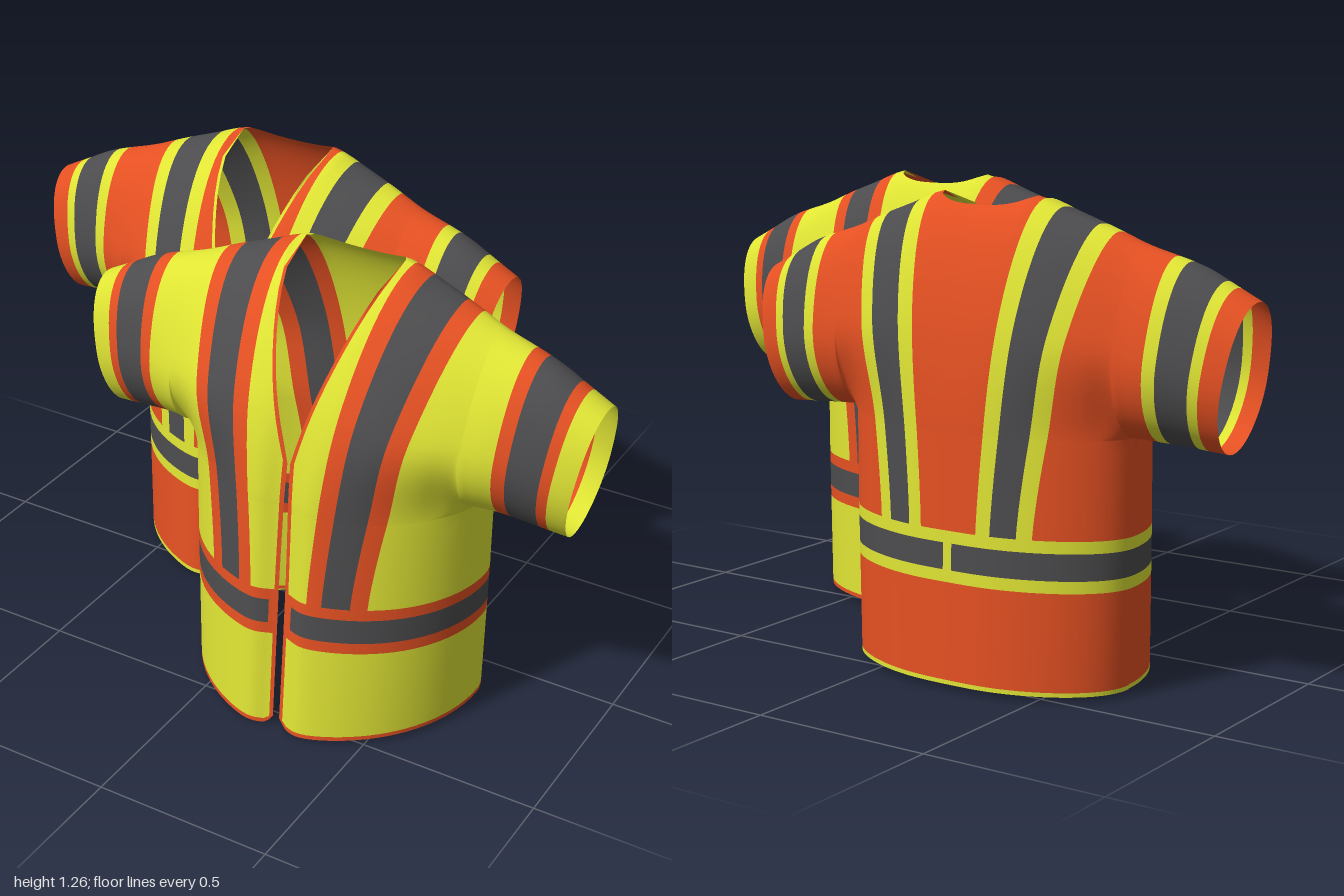
import * as THREE from 'three';

const yellow = new THREE.MeshStandardMaterial({ color: 0xdfe434, side: THREE.DoubleSide });
yellow.name = 'safety yellow';
const orange = new THREE.MeshStandardMaterial({ color: 0xe45022, side: THREE.DoubleSide });
orange.name = 'safety orange';
const grey = new THREE.MeshStandardMaterial({ color: 0x4c4c4e, side: THREE.DoubleSide });
grey.name = 'reflective grey';

const { lerp, clamp, smoothstep } = THREE.MathUtils;

// Smooth curve through [x, value] points
function curve(points) {
  const c = new THREE.CubicInterpolant(points.map(p => p[0]), points.map(p => p[1]), 1, [0]);
  return x => c.evaluate(clamp(x, points[0][0], points[points.length - 1][0]))[0];
}

const ARMPIT = 0.67, ARMHOLE = 0.435, CUFF = 0.745, NECK = 0.145, WAIST = 0.417, UPPER_ROWS = 28;

// Shoulder ridge height and depth position, then depth of front and back from the ridge
const ridgeY = curve([[0, 1.265], [0.145, 1.26], [0.245, 1.225], [0.345, 1.19], [0.435, 1.155],
  [0.595, 1.105], [0.675, 1.065], [0.745, 1.03]]);
const ridgeZ = curve([[0, -0.11], [0.15, -0.11], [0.435, -0.085], [0.6, -0.065], [0.745, -0.057]]);
const frontDepth = curve([[0, 0.38], [0.145, 0.38], [0.245, 0.36], [0.345, 0.305], [0.435, 0.245],
  [0.55, 0.175], [0.745, 0.12]]);
const backDepth = curve([[0, 0.19], [0.145, 0.19], [0.245, 0.19], [0.345, 0.17], [0.435, 0.15],
  [0.55, 0.148], [0.745, 0.125]]);

// How far a column has moved from its waist position to its shoulder position
function lean(y, top) {
  return clamp((y - WAIST) / (top - WAIST), 0, 1) ** 1.3;
}
// The skirt narrows slightly towards the hem
const taper = y => 1 - 0.026 * (1 - Math.min(1, y / WAIST));
// Half width of the torso at height y
const halfWidth = y => (0.42 + 0.015 * lean(y, ridgeY(ARMHOLE))) * taper(y);

// Columns of a half garment: [x at waist, x at shoulder, steps to next, kind of cloth to next]
const columnKnots = front => [
  front ? [0.01, 0.004, 1, 'edge'] : [0, 0, 1, 'seam'],
  front ? [0.021, 0.016, 1, 'seam'] : [0.013, 0.013, 1, 'plain'],
  [0.034, 0.032, 9, 'plain'],
  [0.075, NECK, 1, 'plain'],
  [0.085, 0.167, 2, 'stripeTrim'],
  [0.125, 0.218, 5, 'stripe'],
  [0.195, 0.322, 2, 'stripeTrim'],
  [0.235, 0.37, 14, 'side'],
  [0.42, ARMHOLE, 5, 'sleeve'],
  [0, 0.525, 2, 'cuffTrim'],
  [0, 0.563, 5, 'cuffTape'],
  [0, 0.656, 2, 'cuffTrim'],
  [0, 0.686, 3, 'sleeve'],
  [0, CUFF, 0, 'end'],
];

function makeColumns(front) {
  const knots = columnKnots(front), cols = [];
  knots.forEach(([lo, hi, steps, kind], i) => {
    const next = knots[i + 1];
    if (!next) return cols.push({ lo, hi, kind, sleeve: true });
    for (let k = 0; k < steps; k++) {
      // Columns gather towards the side seam, where the cloth turns
      const f = kind === 'side' ? Math.sin(k / steps * Math.PI / 2) : k / steps;
      cols.push({ lo: lerp(lo, next[0], f), hi: lerp(hi, next[1], f), kind, sleeve: hi > ARMHOLE || (hi === ARMHOLE && k > 0) });
    }
  });
  return cols;
}

// Rows below the armpit: [height, steps to next, kind]
const rowKnots = [[0, 1, 'hem'], [0.012, 6, 'skirt'], [0.283, 1, 'bandTrim'], [0.315, 2, 'band'],
  [0.385, 1, 'bandTrim'], [WAIST, 7, 'chest'], [ARMPIT, 0, 'chest']];
const lowerRows = [];
rowKnots.forEach(([y, steps, kind], i) => {
  for (let k = 0; k < steps; k++) lowerRows.push({ y: lerp(y, rowKnots[i + 1][0], k / steps), kind });
});
const LOWER = lowerRows.length;

// Position of one cloth point on the left half, for column c and row j
function clothPoint(c, j, front) {
  const crest = ridgeY(Math.max(c.hi, NECK));
  let top = crest, binding = 0;
  if (c.hi <= NECK + 1e-6) {
    const n = Math.min(1, c.hi / NECK);
    top = front ? lerp(0.77, crest, n ** 0.92) : crest - 0.026 * (1 - n ** 3);
    if (front) binding = 0.04;
  }
  const f = c.sleeve ? (c.hi - ARMHOLE) / (CUFF - ARMHOLE) : 0;
  const base = lerp(ARMPIT, 0.65, f);

  let y;
  if (j < LOWER) y = lowerRows[j].y;
  else {
    const v = (j - LOWER) / (UPPER_ROWS - 1);
    y = v > 1 ? top : base + (top - binding - base) * (1 - Math.cos(v * Math.PI)) / 2;
  }
  const t = clamp((y - base) / (crest - base), 0, 1);
  const x = c.sleeve ? halfWidth(y) + (c.hi - ARMHOLE) * lerp(0.82, 1, t)
    : lerp(c.lo, c.hi, lean(y, top)) * taper(y);
  const key = c.sleeve ? c.hi : x;

  // Rounded torso section below, arched shoulder or sleeve section above
  const e = front ? 1.9 : 2.15;
  const round = c.sleeve ? 0 : (1 - clamp(x / halfWidth(y), 0, 1) ** e) ** (1 / e);
  const h = clamp(y / ARMPIT, 0, 1);
  const bodyDepth = round * (front ? lerp(0.435, 0.38, h) : lerp(0.207, 0.19, h));
  let depth = bodyDepth;
  if (j >= LOWER) {
    const s = clamp(t / 0.5, 0, 1);
    const rise = lerp(Math.sqrt(1 - (1 - s) ** 2), smoothstep(s, 0, 1), Math.min(1, round * 2));
    const p = lerp(front ? 1.45 : 1.9, 4, f);
    depth = Math.sqrt(1 - t ** p) * lerp(bodyDepth, (front ? frontDepth : backDepth)(key), rise);
  }
  let z = ridgeZ(key) + (front ? depth : -depth);
  if (front) z -= 0.035 * Math.exp(-((x / 0.055) ** 2)) * (1 - smoothstep(y, 0.7, 1.1));

  // Hem dips to the front opening and has rounded corners there
  const hem = front ? 0.018 - 0.018 * Math.exp(-((x / 0.25) ** 2)) + 0.045 * Math.max(0, 1 - x / 0.04) ** 2
    : 0.015;
  if (y < 0.283) y += hem * (1 - y / 0.283);
  return [x, y, z];
}

// Which cloth covers the cell
function clothFor(c, j, front) {
  const row = j < LOWER ? lowerRows[j].kind : 'chest';
  if (c.kind === 'cuffTape') return 'reflectiveTape';
  if (c.kind === 'cuffTrim') return 'contrastTrim';
  if (c.sleeve || c.kind === 'sleeve') return 'mainFabric';
  if (row === 'hem' || row === 'bandTrim' || c.kind === 'edge') return 'contrastTrim';
  if (row === 'band') return c.kind === 'seam' ? 'contrastTrim' : 'reflectiveTape';
  if (row === 'chest' && c.kind === 'stripe') return 'reflectiveTape';
  if (row === 'chest' && c.kind === 'stripeTrim') return 'contrastTrim';
  if (front && j === LOWER + UPPER_ROWS - 1 && c.hi < NECK - 1e-6) return 'contrastTrim';
  return 'mainFabric';
}

// Welded cloth surface, shared by one mesh for each kind of cloth
function makeJacket(name, materials) {
  const positions = [], ids = new Map();
  const faces = { mainFabric: [], contrastTrim: [], reflectiveTape: [] };
  const vertex = p => {
    const key = p.map(n => Math.round(n * 20000)).join();
    if (!ids.has(key)) {
      ids.set(key, positions.length / 3);
      positions.push(...p);
    }
    return ids.get(key);
  };
  for (const front of [true, false]) for (const side of [1, -1]) {
    const cols = makeColumns(front), rows = LOWER + UPPER_ROWS;
    const grid = cols.map(c => Array.from({ length: rows + 1 }, (_, j) => {
      if (c.sleeve && j < LOWER) return -1;
      const [x, y, z] = clothPoint(c, j, front);
      return vertex([x * side, y, z]);
    }));
    for (let i = 0; i < cols.length - 1; i++) for (let j = 0; j < rows; j++) {
      const quad = [grid[i][j], grid[i + 1][j], grid[i + 1][j + 1], grid[i][j + 1]];
      if (quad.includes(-1)) continue;
      if (front !== (side > 0)) quad.reverse();
      const [a, b, c, d] = quad, list = faces[clothFor(cols[i], j, front)];
      for (const tri of [[a, b, c], [a, c, d]]) if (new Set(tri).size === 3) list.push(...tri);
    }
  }
  const whole = new THREE.BufferGeometry();
  whole.setAttribute('position', new THREE.Float32BufferAttribute(positions, 3));
  whole.setIndex(Object.values(faces).flat());
  whole.computeVertexNormals();

  const jacket = new THREE.Group();
  jacket.name = name;
  for (const part in faces) {
    const g = new THREE.BufferGeometry();
    g.setAttribute('position', whole.getAttribute('position'));
    g.setAttribute('normal', whole.getAttribute('normal'));
    g.setIndex(faces[part]);
    const mesh = new THREE.Mesh(g, materials[part]);
    mesh.name = part;
    jacket.add(mesh);
  }
  return jacket;
}

export function createModel() {
  const model = new THREE.Group();
  model.name = 'safetyJackets';
  const a = makeJacket('yellowJacket', { mainFabric: yellow, contrastTrim: orange, reflectiveTape: grey });
  a.position.set(0.255, 0, 0.255);
  const b = makeJacket('orangeJacket', { mainFabric: orange, contrastTrim: yellow, reflectiveTape: grey });
  b.position.set(-0.255, 0, -0.255);
  model.add(a, b);
  return model;
}
